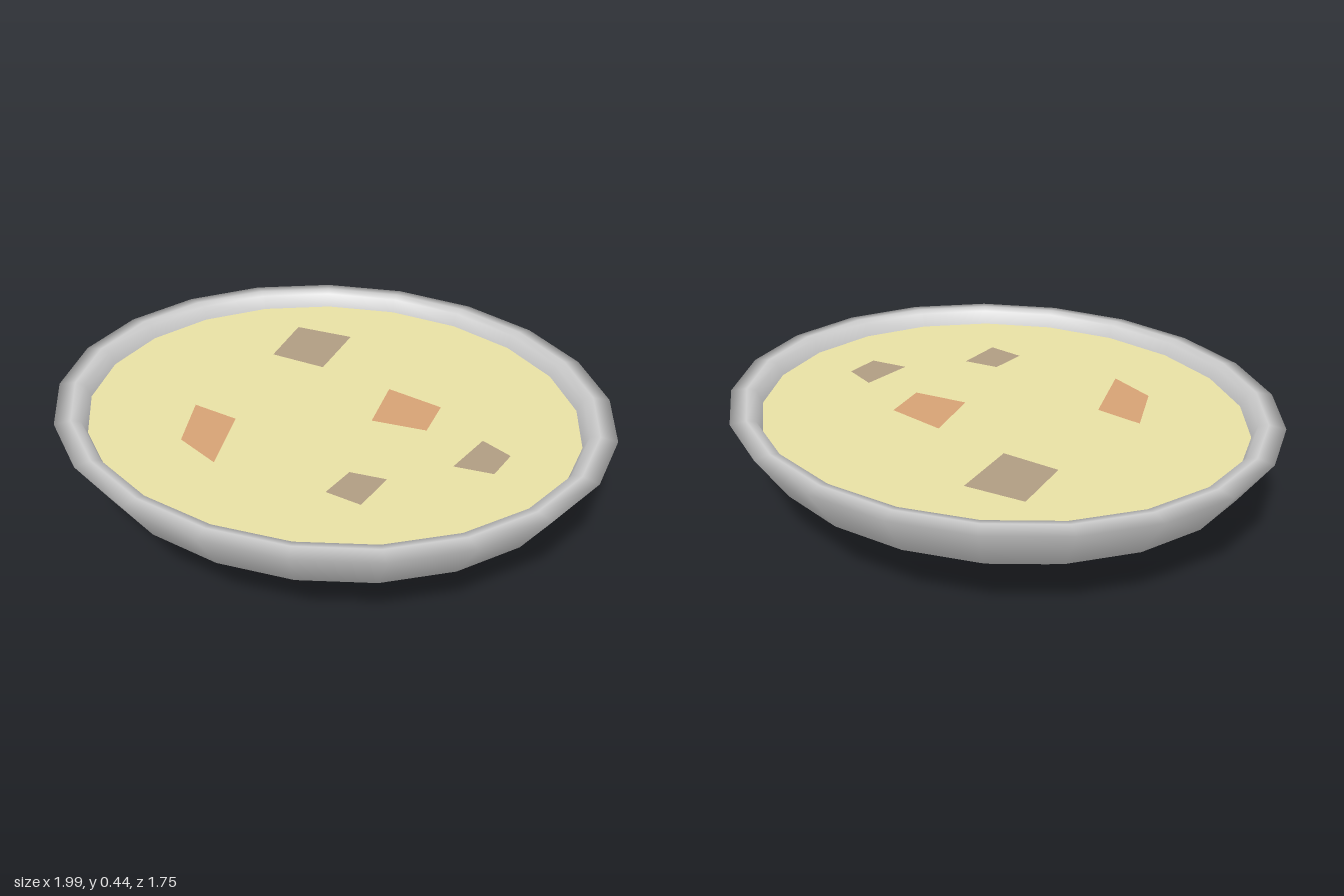
import * as THREE from 'three';

const SIDES = 21;
const DEPTH = 0.88; // oval: z radius relative to x radius
const SOUP_Y = 0.385;

function mesh(name, geometry, color) {
  const m = new THREE.Mesh(geometry, new THREE.MeshStandardMaterial({ color, side: THREE.DoubleSide }));
  m.name = name;
  return m;
}

// Flat horizontal patch from [x, z] corners
function patch(corners, y) {
  const shape = new THREE.Shape(corners.map(([x, z]) => new THREE.Vector2(x, -z)));
  return new THREE.ShapeGeometry(shape).rotateX(-Math.PI / 2).translate(0, y, 0);
}

export function createModel() {
  const group = new THREE.Group();

  // Bowl: outer wall, rounded lip and the inner wall down to the soup
  const profile = [
    [0, 0.004], [0.35, 0.035], [0.66, 0.128], [0.885, 0.265], [1, 0.43],
    [0.94, 0.44], [0.905, 0.433], [0.885, SOUP_Y],
  ].map(([r, y]) => new THREE.Vector2(r, y));
  const bowl = new THREE.LatheGeometry(profile, SIDES, Math.PI).scale(1, 1, DEPTH);
  group.add(mesh('bowl', bowl, 0xcccccc));

  // Soup surface fills the bowl up to the inner wall
  const edge = [];
  for (let i = 0; i < SIDES; i++) {
    const a = Math.PI + (i / SIDES) * Math.PI * 2;
    edge.push([0.886 * Math.sin(a), 0.886 * DEPTH * Math.cos(a)]);
  }
  group.add(mesh('soup', patch(edge, SOUP_Y), 0xe8e0a4));

  // Floating pieces
  const brown = 0xb09c82, orange = 0xd6a274;
  const pieces = [
    [brown, [[-0.32, -0.54], [-0.10, -0.53], [-0.13, -0.28], [-0.34, -0.31]]],
    [orange, [[0.15, -0.21], [0.36, -0.15], [0.35, 0.01], [0.15, 0.01]]],
    [brown, [[0.55, 0.01], [0.66, 0.07], [0.63, 0.19], [0.49, 0.19]]],
    [orange, [[-0.48, 0.11], [-0.31, 0.15], [-0.28, 0.42], [-0.44, 0.33]]],
    [brown, [[0.17, 0.33], [0.30, 0.33], [0.26, 0.49], [0.13, 0.46]]],
  ];
  pieces.forEach(([color, corners], i) => {
    group.add(mesh(`soupPiece${i + 1}`, patch(corners, SOUP_Y + 0.003), color));
  });

  return group;
}
